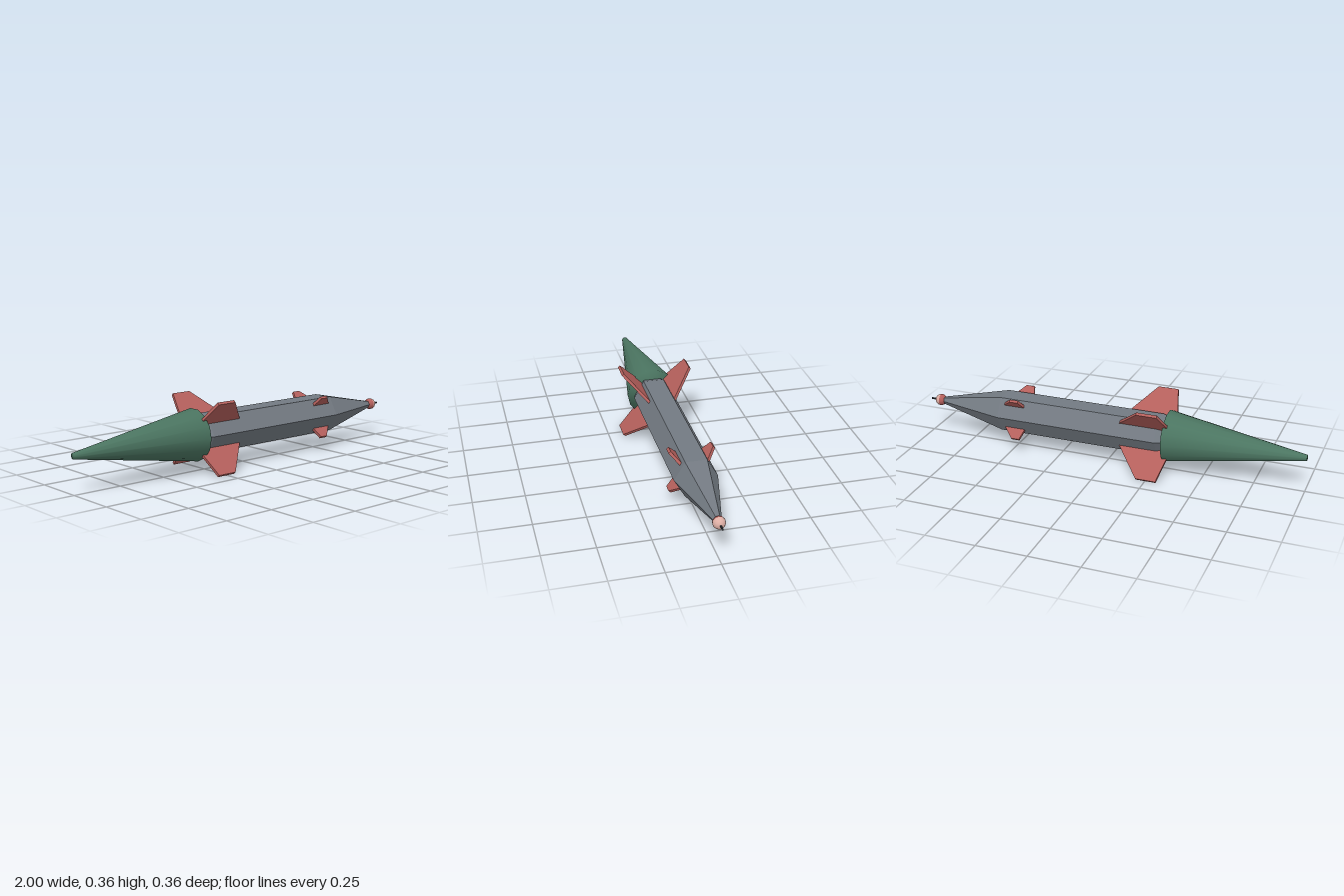
import * as THREE from 'three';

const paint = (name, color) => {
  const m = new THREE.MeshStandardMaterial({ color });
  m.name = name;
  return m;
};

const AXIS_Y = 0.18;

export function createModel() {
  const grey = paint('hullGrey', 0x737a82);
  const green = paint('tailGreen', 0x4b7561);
  const red = paint('finRed', 0xb5605c);
  const pink = paint('tipPink', 0xdfb0a6);
  const dark = paint('pinDark', 0x33373c);

  const model = new THREE.Group();
  model.name = 'rocket';
  const rocket = new THREE.Group();
  rocket.name = 'rocketAssembly';
  rocket.position.y = AXIS_Y;
  model.add(rocket);

  const add = (parent, name, geometry, material) => {
    const mesh = new THREE.Mesh(geometry, material);
    mesh.name = name;
    parent.add(mesh);
    return mesh;
  };

  // Turned part along x from [x, radius] pairs, listed from tail to nose
  const turned = (profile, sides, faceted) => {
    let g = new THREE.LatheGeometry(profile.map(([x, r]) => new THREE.Vector2(r, x)), sides);
    g.rotateZ(-Math.PI / 2);
    if (faceted) {
      g = g.toNonIndexed();
      g.computeVertexNormals();
    }
    return g;
  };

  // Six-sided hull with tapered nose
  add(rocket, 'hull', turned(
    [[-0.32, 0], [-0.32, 0.085], [-0.27, 0.104], [0.57, 0.104], [0.94, 0.015], [0.94, 0]], 6, true), grey);

  // Long tail cone, closed at both ends
  add(rocket, 'tailCone', turned(
    [[-1, 0], [-1, 0.015], [-0.31, 0.13], [-0.309, 0]], 14, false), green);

  // Ball at the tip in two halves, with a pin through it
  const half = (from, to) => {
    const points = [];
    for (let i = 0; i <= 4; i++) {
      const a = THREE.MathUtils.lerp(from, to, i / 4);
      points.push([0.945 - 0.03 * Math.cos(a), 0.03 * Math.sin(a)]);
    }
    return turned(points, 12, false);
  };
  add(rocket, 'tipBallRear', half(0, Math.PI / 2), red);
  add(rocket, 'tipBallFront', half(Math.PI / 2, Math.PI), pink);
  add(rocket, 'tipPin', turned([[0.96, 0], [0.96, 0.005], [1, 0.005], [1, 0]], 8, true), dark);

  // Fin plates: outlines as [x, distance from axis]
  const finGeometry = (outline) => {
    const shape = new THREE.Shape(outline.map(([x, r]) => new THREE.Vector2(x, r)));
    const depth = 0.014;
    return new THREE.ExtrudeGeometry(shape, { depth, bevelEnabled: false }).translate(0, 0, -depth / 2);
  };
  const rearFin = finGeometry([[-0.345, 0.06], [-0.06, 0.067], [-0.203, 0.247], [-0.305, 0.247]]);
  const foreFin = finGeometry([[0.425, 0.06], [0.565, 0.067], [0.493, 0.149], [0.45, 0.149]]);

  // Four of each on the diagonals
  for (let i = 0; i < 4; i++) {
    const fins = new THREE.Group();
    fins.name = `finPair${i + 1}`;
    fins.rotation.x = Math.PI / 4 + i * Math.PI / 2;
    add(fins, 'rearFin', rearFin, red);
    add(fins, 'foreFin', foreFin, red);
    rocket.add(fins);
  }

  return model;
}
